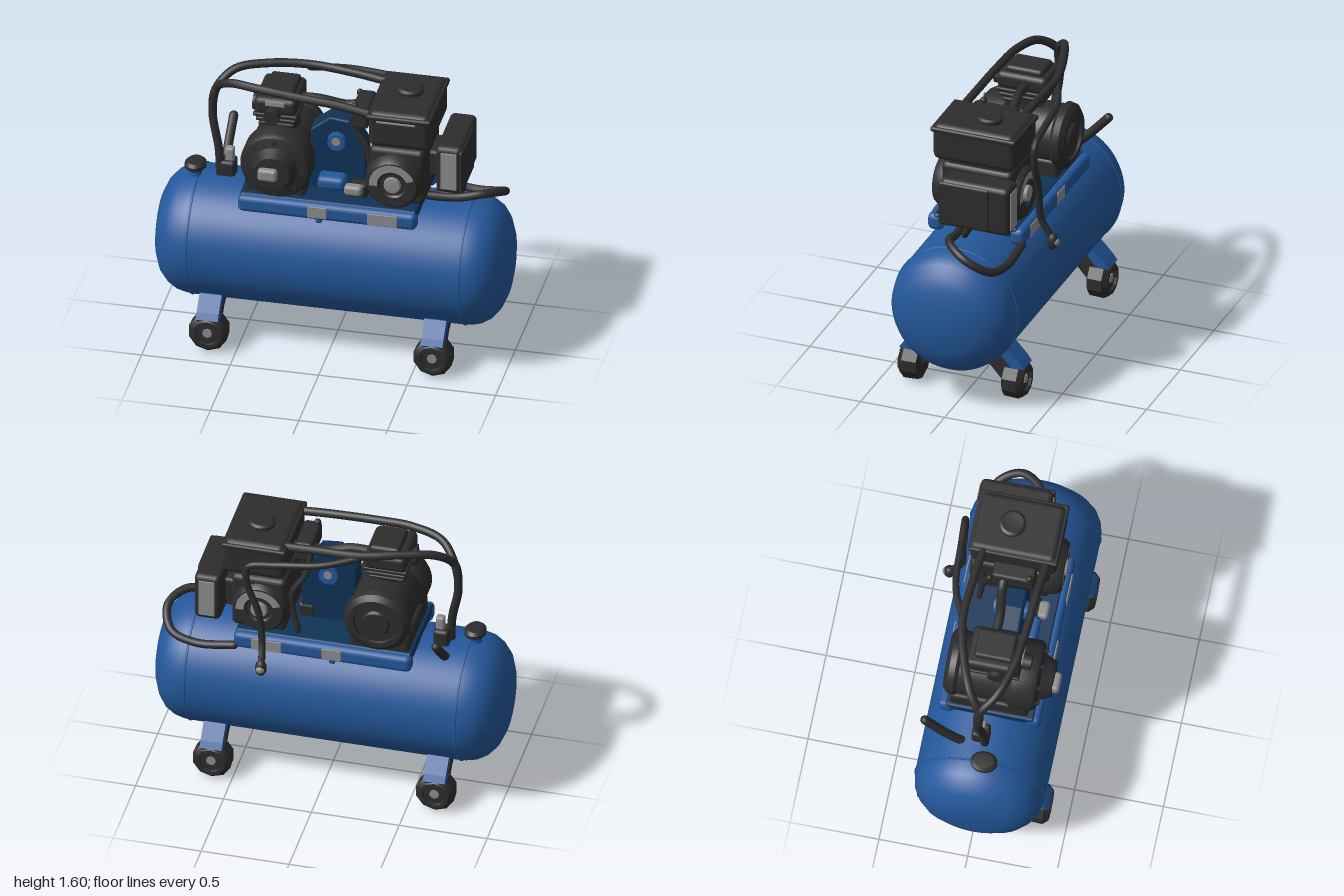
import * as THREE from 'three';
import { toCreasedNormals } from 'three/addons/utils/BufferGeometryUtils.js';
import { RoundedBoxGeometry } from 'three/addons/geometries/RoundedBoxGeometry.js';

const paint = (name, color) => {
  const m = new THREE.MeshStandardMaterial({ color });
  m.name = name;
  return m;
};

export function createModel() {
  const model = new THREE.Group();
  model.name = 'airCompressor';
  const blue = paint('tank blue', 0x24589b);
  const navy = paint('dark blue', 0x0f3357);
  const black = paint('charcoal', 0x2d2d2d);
  const silver = paint('silver', 0x8e8e8e);

  const add = (name, geo, mat, x = 0, y = 0, z = 0, parent = model) => {
    const mesh = new THREE.Mesh(geo, mat);
    mesh.name = name;
    mesh.position.set(x, y, z);
    parent.add(mesh);
    return mesh;
  };
  const box = (name, mat, [w, h, d], [x, y, z], r = 0.02, parent = model) =>
    add(name, new RoundedBoxGeometry(w, h, d, 2, r), mat, x, y, z, parent);
  // Turned part from [radius, distance] pairs along the chosen axis
  const turned = (pts, axis, segs = 40, crease = 0.6) => {
    const g = new THREE.LatheGeometry(pts.map(p => new THREE.Vector2(...p)), segs);
    if (axis === 'x') g.rotateZ(-Math.PI / 2);
    if (axis === 'z') g.rotateX(Math.PI / 2);
    return toCreasedNormals(g, crease);
  };
  const tube = (name, r, pts, mat = black) => {
    const curve = new THREE.CatmullRomCurve3(pts.map(p => new THREE.Vector3(...p)));
    add(name, new THREE.TubeGeometry(curve, pts.length * 8, r, 10), mat);
    for (const p of [pts[0], pts[pts.length - 1]])
      add(name + 'End', new THREE.SphereGeometry(r, 10, 8), mat, ...p);
  };
  // Side profile of [z, y] points, extruded across x
  const sideProfile = (pts, width) => {
    const s = new THREE.Shape(pts.map(p => new THREE.Vector2(...p)));
    return new THREE.ExtrudeGeometry(s, { depth: width, bevelEnabled: false })
      .translate(0, 0, -width / 2).rotateY(-Math.PI / 2);
  };

  // Air tank with domed ends and weld seams
  add('tank', turned([[0, -1], [0.13, -0.998], [0.2, -0.985], [0.27, -0.955], [0.32, -0.91], [0.35, -0.86],
    [0.363, -0.8], [0.366, -0.77], [0.366, 0.76], [0.363, 0.8], [0.35, 0.85], [0.32, 0.9], [0.27, 0.94],
    [0.2, 0.97], [0.1, 0.99], [0, 0.995]], 'x', 64, 1), blue, 0, 0.567, 0.025);
  for (const x of [-0.775, 0.765])
    add('weldSeam', new THREE.TorusGeometry(0.365, 0.006, 6, 64).rotateY(Math.PI / 2), blue, x, 0.567, 0.025);

  // Four feet, each with arm, bracket and caster
  const foot = (x, back) => {
    const g = new THREE.Group();
    g.name = 'foot';
    g.position.set(x, 0, 0.03);
    if (back) g.rotation.y = Math.PI;
    add('footArm', sideProfile([[0.1, 0.225], [0.17, 0.19], [0.25, 0.1], [0.34, 0.12], [0.365, 0.2],
      [0.29, 0.275], [0.2, 0.275]], 0.11), black, 0, 0, 0, g);
    add('footBracket', sideProfile([[0.3, 0.195], [0.37, 0.2], [0.345, 0.235], [0.27, 0.315], [0.2, 0.3]], 0.125),
      blue, 0, 0, 0, g);
    add('caster', turned([[0, 0.24], [0.075, 0.24], [0.108, 0.255], [0.112, 0.34], [0.085, 0.37],
      [0.065, 0.37], [0.06, 0.355], [0, 0.355]], 'z', 10, 0.5), black, 0, 0.108, 0, g);
    add('casterHub', turned([[0, 0.35], [0.028, 0.35], [0.028, 0.362], [0, 0.362]], 'z', 8), silver, 0, 0.115, 0, g);
    model.add(g);
  };
  for (const x of [-0.655, 0.615]) for (const back of [false, true]) foot(x, back);

  // Base deck and side rails with silver clamps
  box('deck', navy, [1.0, 0.06, 0.5], [0, 0.94, 0.02], 0.015);
  for (const z of [0.26, -0.225]) {
    const side = z > 0 ? 1 : -1;
    box('rail', blue, [1.01, 0.1, 0.09], [0, 0.915, z], 0.03);
    box('railClampSmall', silver, [0.11, 0.07, 0.008], [-0.055, 0.918, z + side * 0.045], 0.003);
    box('railClampLarge', silver, [0.17, 0.07, 0.008], [0.315, 0.915, z + side * 0.045], 0.003);
    box('railLug', blue, [0.035, 0.05, 0.04], [-0.05, 0.86, z], 0.01);
  }

  // Pump crankcase with flared front bell
  add('pumpBody', turned([[0, -0.25], [0.07, -0.25], [0.08, -0.235], [0.12, -0.235], [0.125, -0.25],
    [0.155, -0.25], [0.185, -0.225], [0.192, -0.19], [0.175, -0.17], [0.175, 0.1], [0.2, 0.13], [0.2, 0.24],
    [0.185, 0.265], [0.13, 0.28], [0.12, 0.3], [0.1, 0.345], [0, 0.35]], 'z', 48), black, -0.3, 1.155, 0);
  box('pumpFoot', black, [0.34, 0.12, 0.44], [-0.31, 1.01, 0.01]);
  box('pumpCap', silver, [0.11, 0.075, 0.05], [-0.32, 1.16, 0.36], 0.02);
  for (let i = 0; i < 8; i++) {
    const a = i * Math.PI / 4;
    add('pumpBolt', new THREE.CylinderGeometry(0.012, 0.012, 0.02, 6).rotateX(Math.PI / 2), black,
      -0.3 + 0.16 * Math.cos(a), 1.155 + 0.16 * Math.sin(a), 0.275);
  }

  // Pump cylinder, cooling fins and head
  add('pumpCylinder', turned([[0, 1.28], [0.1, 1.28], [0.1, 1.5], [0, 1.5]], 'y', 24), black, -0.31, 0, 0.03);
  for (let i = 0; i < 3; i++)
    box('coolingFin', black, [0.2 + 0.025 * i, 0.022, 0.23 + 0.03 * i], [-0.32, 1.355 + i * 0.035, 0.03], 0.008);
  box('pumpHead', black, [0.24, 0.1, 0.3], [-0.32, 1.48, 0.025], 0.03);
  box('pumpHeadLid', black, [0.17, 0.05, 0.22], [-0.31, 1.54, 0.02], 0.02);
  box('headPlate', silver, [0.11, 0.03, 0.008], [-0.32, 1.505, 0.176], 0.003);
  add('intakeFilter', new THREE.CylinderGeometry(0.045, 0.045, 0.06, 16).rotateX(Math.PI / 2), black, -0.33, 1.44, 0.195);
  add('sideFilter', new THREE.CylinderGeometry(0.05, 0.05, 0.05, 16).rotateZ(Math.PI / 2), black, -0.44, 1.44, 0.05);

  // Tapered belt guard with pulley hubs
  const guard = new THREE.Shape([[-0.13, 0.96], [0.17, 0.96], [0.17, 1.25], [0.08, 1.4], [-0.02, 1.41],
    [-0.12, 1.33]].map(p => new THREE.Vector2(...p)));
  add('beltGuard', new THREE.ExtrudeGeometry(guard, { depth: 0.1, bevelSize: 0.012, bevelThickness: 0.015 }),
    navy, 0, 0, 0.0);
  for (const [z, s] of [[0.125, 1], [-0.025, -1]]) {
    add('guardHub', new THREE.CylinderGeometry(0.05, 0.055, 0.05, 16).rotateX(Math.PI / 2), blue, 0.02, 1.285, z);
    add('guardHubCap', new THREE.CylinderGeometry(0.025, 0.025, 0.008, 10).rotateX(Math.PI / 2), silver,
      0.02, 1.295, z + s * 0.028);
  }
  box('tensioner', blue, [0.16, 0.08, 0.16], [0, 1.04, 0.12], 0.03);
  box('drainFitting', silver, [0.1, 0.06, 0.06], [0.13, 1.03, 0.2], 0.02);
  box('linkage', black, [0.1, 0.1, 0.2], [0.15, 1.0, 0.08]);

  // Engine block with round covers front and rear
  const engine = new THREE.Group();
  engine.name = 'engine';
  engine.position.set(0.365, 1.13, 0);
  model.add(engine);
  box('engineBlock', black, [0.31, 0.34, 0.42], [0.01, 0.02, 0], 0.03, engine);
  const cover = turned([[0.16, -0.1], [0.165, 0.2], [0.155, 0.25], [0.135, 0.275], [0.08, 0.275],
    [0.07, 0.265], [0, 0.265]], 'z', 40);
  const arc = new THREE.RingGeometry(0.085, 0.13, 28, 1, 0.35, 2.9);
  const hub = turned([[0, 0.26], [0.05, 0.26], [0.045, 0.285], [0, 0.29]], 'z', 16);
  for (const back of [false, true]) {
    const g = new THREE.Group();
    g.name = back ? 'rearCover' : 'starterCover';
    if (back) { g.rotation.y = Math.PI; g.position.z = 0.035; }
    add('coverShell', cover, black, 0, 0, 0, g);
    add('coverArc', arc, silver, 0, 0, 0.28, g);
    add('coverHub', hub, silver, 0, 0, 0, g);
    engine.add(g);
  }

  // Fuel tank
  box('fuelTank', black, [0.35, 0.22, 0.49], [0.395, 1.455, 0.005], 0.04);
  box('fuelTankSeam', black, [0.365, 0.03, 0.505], [0.395, 1.535, 0.005], 0.012);
  box('fuelTankNeck', black, [0.26, 0.06, 0.36], [0.385, 1.33, 0]);
  add('fuelCap', turned([[0, 1.55], [0.075, 1.55], [0.075, 1.585], [0.06, 1.595], [0, 1.59]], 'y', 24),
    black, 0.4, 0, -0.03);
  box('fuelTankTrim', silver, [0.22, 0.012, 0.008], [0.38, 1.512, 0.25], 0.003);

  // Muffler box with silver end plates
  box('muffler', black, [0.15, 0.29, 0.41], [0.653, 1.178, -0.065], 0.03);
  box('mufflerShield', black, [0.025, 0.26, 0.3], [0.723, 1.178, -0.005], 0.012);
  box('mufflerMount', black, [0.12, 0.16, 0.2], [0.55, 1.16, -0.05]);
  for (const z of [0.141, -0.271]) box('mufflerPlate', silver, [0.09, 0.23, 0.008], [0.655, 1.178, z], 0.003);

  // Air lines
  const rise = [[-0.66, 0.88, 0.03], [-0.67, 1.08, 0.02], [-0.71, 1.3, 0], [-0.69, 1.46, 0]];
  tube('rearAirLine', 0.024, [...rise, [-0.6, 1.555, -0.07], [-0.42, 1.575, -0.14], [-0.2, 1.565, -0.19],
    [0.05, 1.55, -0.18], [0.25, 1.53, -0.16]]);
  tube('frontAirLine', 0.024, [...rise, [-0.6, 1.55, 0.08], [-0.42, 1.57, 0.14], [-0.2, 1.56, 0.165],
    [0.05, 1.545, 0.18], [0.25, 1.52, 0.2]]);
  tube('dropHose', 0.02, [[-0.2, 1.55, -0.19], [0, 1.52, -0.27], [0.25, 1.49, -0.29], [0.41, 1.46, -0.3],
    [0.42, 1.36, -0.3], [0.35, 1.15, -0.3], [0.33, 0.97, -0.305], [0.32, 0.88, -0.35]]);
  add('hoseGrip', new THREE.SphereGeometry(0.036, 14, 10).scale(0.9, 1.4, 0.9), black, 0.32, 0.835, -0.37);
  add('hoseGripTip', new THREE.SphereGeometry(0.026, 12, 8), silver, 0.32, 0.835, -0.384);
  tube('dischargeHose', 0.024, [[0.45, 0.97, 0.07], [0.68, 0.97, 0.06], [0.83, 1.0, 0.04], [0.92, 0.96, -0.08],
    [0.87, 0.88, -0.21], [0.72, 0.85, -0.25], [0.5, 0.88, -0.26]]);
  tube('mufflerPipe', 0.018, [[0.7, 1.05, -0.02], [0.7, 0.99, 0], [0.6, 0.965, 0.02], [0.45, 0.95, 0.04]]);
  tube('headLine', 0.026, [[-0.22, 1.47, 0], [-0.1, 1.47, 0], [0.05, 1.44, -0.02], [0.15, 1.46, -0.02], [0.25, 1.42, 0]]);
  tube('throttleCable', 0.02, [[0.12, 1.52, 0.12], [0.13, 1.38, 0.13], [0.19, 1.28, 0.14], [0.22, 1.15, 0.15]]);
  tube('fuelLine', 0.018, [[0.1, 1.48, -0.1], [0.12, 1.35, -0.13], [0.2, 1.2, -0.15], [0.16, 0.98, -0.17]]);
  box('regulator', black, [0.1, 0.12, 0.24], [0.15, 1.45, 0.03]);

  // Tank handle, relief valve and filler knob
  tube('handle', 0.026, [[-0.66, 0.88, -0.08], [-0.665, 0.97, -0.18], [-0.66, 1.11, -0.31]]);
  box('reliefValve', silver, [0.05, 0.09, 0.05], [-0.61, 1.05, 0.0], 0.015);
  box('valveBody', black, [0.09, 0.12, 0.1], [-0.62, 0.96, 0], 0.02);
  add('fillerStem', new THREE.CylinderGeometry(0.03, 0.04, 0.08, 16), blue, -0.795, 0.94, 0.05);
  add('fillerKnob', turned([[0, 0.965], [0.045, 0.965], [0.06, 0.98], [0.06, 1.0], [0.045, 1.015], [0, 1.018]], 'y', 24),
    black, -0.795, 0, 0.05).scale.z = 1.25;

  return model;
}
